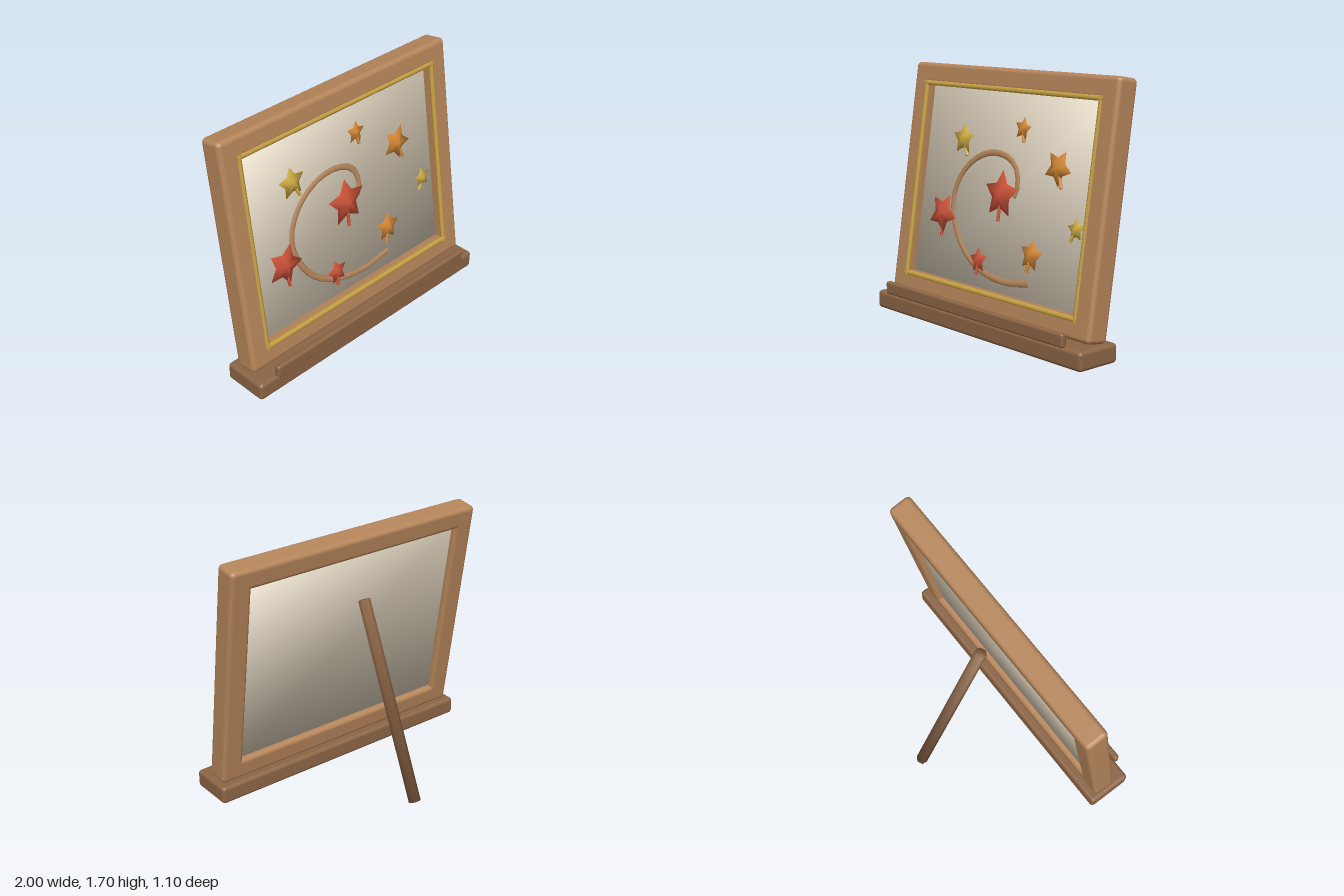
import * as THREE from 'three';
import { mergeVertices } from 'three/addons/utils/BufferGeometryUtils.js';
import { RoundedBoxGeometry } from 'three/addons/geometries/RoundedBoxGeometry.js';

const mat = (name, color) => Object.assign(new THREE.MeshStandardMaterial({ color }), { name });

function add(parent, name, geometry, material, x = 0, y = 0, z = 0) {
  const mesh = new THREE.Mesh(geometry, material);
  mesh.name = name;
  mesh.position.set(x, y, z);
  parent.add(mesh);
  return mesh;
}

// Points every corner normal diagonally outward, so the shading runs softly over the edges
function softened(geometry, halfX, halfY, halfZ) {
  const half = new THREE.Vector3(halfX, halfY, halfZ), v = new THREE.Vector3();
  const { position, normal } = geometry.attributes;
  for (let i = 0; i < position.count; i++) {
    v.fromBufferAttribute(position, i).divide(half).normalize();
    normal.setXYZ(i, v.x, v.y, v.z);
  }
  return geometry;
}

// Soft five-pointed star, raised in the middle on both sides
function starGeometry(R, front, back) {
  const rim = i => {
    const a = Math.PI / 2 + (i % 10) * Math.PI / 5;
    const r = i % 2 ? R * 0.54 : R;
    return [r * Math.cos(a), r * Math.sin(a), 0];
  };
  const p = [];
  for (let i = 0; i < 10; i++) {
    p.push(...rim(i), ...rim(i + 1), 0, 0, front);
    p.push(...rim(i + 1), ...rim(i), 0, 0, -back);
  }
  const soup = new THREE.BufferGeometry();
  soup.setAttribute('position', new THREE.Float32BufferAttribute(p, 3));
  const g = mergeVertices(soup);
  g.computeVertexNormals();
  return g;
}

export function createModel() {
  const wood = mat('light wood', 0xb5855a);
  const darkWood = mat('dark wood', 0x8c6545);
  const cream = mat('cream panel', 0xd9cdb8);
  const gold = mat('gold trim', 0xcaa344);
  const red = mat('red leaf', 0xd2553b);
  const orange = mat('orange leaf', 0xdc8c38);
  const yellow = mat('yellow leaf', 0xd4b045);

  const model = new THREE.Group();
  model.name = 'pictureStand';

  // Base and front lip
  add(model, 'base', new RoundedBoxGeometry(2, 0.122, 0.312, 3, 0.025), darkWood, 0, 0.08, 0.375);
  add(model, 'frontLip', new RoundedBoxGeometry(1.74, 0.086, 0.042, 3, 0.015), darkWood, 0, 0.185, 0.533);

  // Rear strut
  const top = new THREE.Vector3(0, 1.272, 0.013), foot = new THREE.Vector3(0, 0.018, -0.514);
  const along = top.clone().sub(foot), length = along.length();
  const strut = add(model, 'rearStrut',
    softened(new THREE.CylinderGeometry(0.04, 0.04, length, 6), 0.04, length / 2, 0.04), darkWood);
  strut.position.copy(top).add(foot).multiplyScalar(0.5);
  strut.rotation.x = Math.atan2(along.z, along.y);

  // Leaning picture
  const picture = new THREE.Group();
  picture.name = 'leaningPicture';
  picture.position.set(0, 0.919, 0.231);
  picture.rotation.x = -0.155;
  model.add(picture);

  const W = 1.93, H = 1.568, T = 0.16, railW = 0.143, sideW = 0.152;
  for (const s of [-1, 1]) {
    add(picture, s > 0 ? 'topRail' : 'bottomRail',
      new RoundedBoxGeometry(W, railW, T, 3, 0.03), wood, 0, s * (H - railW) / 2, 0);
    add(picture, s > 0 ? 'leftRail' : 'rightRail',
      new RoundedBoxGeometry(sideW, H, T, 3, 0.03), wood, s * (W - sideW) / 2, 0, 0);
    // Gold trim around the opening
    add(picture, 'goldTrimSide', new THREE.CylinderGeometry(0.018, 0.018, 1.34, 6), gold, s * 0.828, -0.006, 0.07);
    add(picture, 'goldTrimAcross', new THREE.CylinderGeometry(0.018, 0.018, 1.685, 6), gold, 0, s * 0.653 - 0.006, 0.07)
      .rotation.z = Math.PI / 2;
  }
  add(picture, 'panel', softened(new THREE.BoxGeometry(1.66, 1.32, 0.055), 0.83, 0.66, 0.0275), cream, 0, 0, -0.0125);

  const localY = y => (y - 0.922) / 0.988;

  // Spiral vine, flattened against the panel
  const vine = [[0.11, 0.9], [0.132, 0.95], [0.132, 1.01], [0.102, 1.085], [0.027, 1.138], [-0.107, 1.16],
    [-0.257, 1.124], [-0.39, 1.03], [-0.466, 0.9], [-0.478, 0.79], [-0.438, 0.658], [-0.337, 0.52],
    [-0.176, 0.418], [-0.016, 0.375], [0.144, 0.366], [0.337, 0.393]];
  const curve = new THREE.CatmullRomCurve3(vine.map(([x, y]) => new THREE.Vector3(x, localY(y), 0)));
  add(picture, 'spiralVine', new THREE.TubeGeometry(curve, 32, 0.021, 8), wood, 0, 0, 0.018).scale.z = 0.45;

  // Star leaves: x, y, radius, turn and stem direction in degrees, colour
  const leaves = [
    [0, 0.905, 0.16, 0, -90, red],
    [-0.565, 0.712, 0.143, -26, -84, red],
    [-0.428, 1.219, 0.108, 2, -63, yellow],
    [0.14, 1.332, 0.077, -7, -77, orange],
    [0.492, 1.125, 0.12, -28, -69, orange],
    [0.706, 0.78, 0.075, 5, -117, yellow],
    [0.342, 0.572, 0.104, -6, -103, orange],
    [-0.148, 0.463, 0.086, 7, -93, red],
  ];
  for (const [x, y, R, turn, stemDeg, material] of leaves) {
    const leaf = new THREE.Group();
    leaf.name = 'starLeaf';
    leaf.position.set(x, localY(y), 0.03);
    picture.add(leaf);
    add(leaf, 'star', starGeometry(R, 0.012 + R * 0.13, 0.012), material)
      .rotation.z = THREE.MathUtils.degToRad(turn);
    const a = THREE.MathUtils.degToRad(stemDeg);
    const near = R * 0.3, far = R * 1.06 + 0.004, mid = (near + far) / 2;
    add(leaf, 'stem', new THREE.CylinderGeometry(0.011, 0.011, far - near, 6), material,
      mid * Math.cos(a), mid * Math.sin(a), 0).rotation.z = a + Math.PI / 2;
  }
  return model;
}
